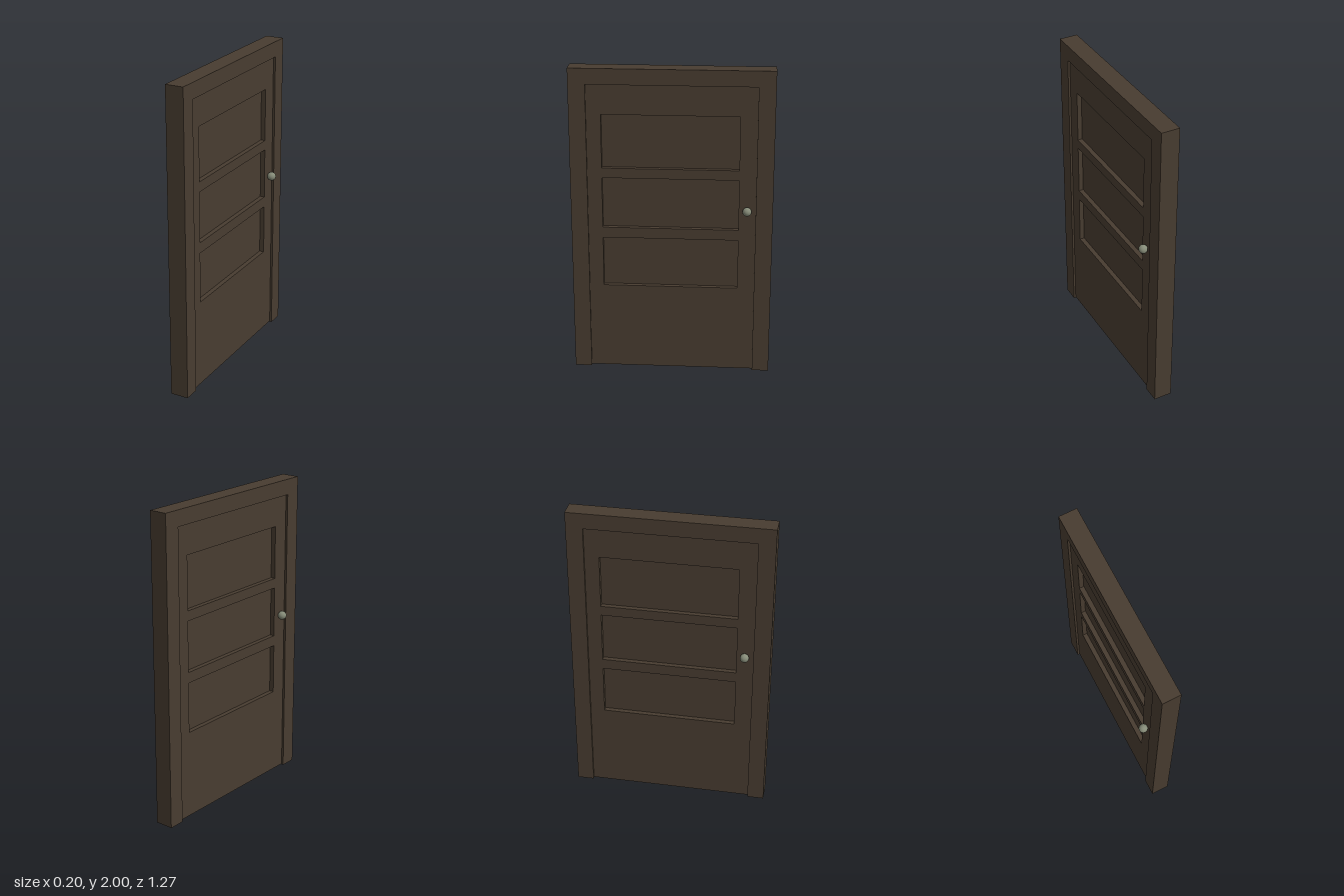
import * as THREE from 'three';

const wood = new THREE.MeshStandardMaterial({ color: 0x483c30 });
const metal = new THREE.MeshStandardMaterial({ color: 0x858b78 });

const HALF_W = 0.633, HALF_D = 0.059;          // frame
const DOOR_W = 0.527, DOOR_TOP = 1.9, DOOR_BOTTOM = 0.005;
const DOOR_D = 0.045, PANEL_D = 0.015;         // half depths of leaf and sunken panels
const PANEL_ROWS = [[0.576, 0.904], [0.973, 1.302], [1.366, 1.71]];

function polygon(points, Type = THREE.Shape) {
  return new Type(points.map(([x, y]) => new THREE.Vector2(x, y)));
}

function rect(x0, y0, x1, y1, Type) {
  return polygon([[x0, y0], [x1, y0], [x1, y1], [x0, y1]], Type);
}

function slab(name, shape, z0, z1) {
  const geometry = new THREE.ExtrudeGeometry(shape, { depth: z1 - z0, bevelEnabled: false });
  geometry.translate(0, 0, z0);
  const mesh = new THREE.Mesh(geometry, wood);
  mesh.name = name;
  return mesh;
}

// One side of the leaf: rails and stiles around the panel openings, plus a knob
function doorFace(name) {
  const face = new THREE.Group();
  face.name = name;
  const shape = rect(-DOOR_W, DOOR_BOTTOM, DOOR_W, DOOR_TOP);
  for (const [y0, y1] of PANEL_ROWS) shape.holes.push(rect(-0.436, y0, 0.42, y1, THREE.Path));
  face.add(slab('railsAndStiles', shape, PANEL_D, DOOR_D));

  const knob = new THREE.Mesh(new THREE.SphereGeometry(0.028, 32, 20), metal);
  knob.name = 'knob';
  knob.position.set(0.472, 1.107, 0.071);
  face.add(knob);
  return face;
}

export function createModel() {
  const model = new THREE.Group();
  model.name = 'door';

  // Frame: two jambs and a head, open at the floor
  const frame = slab('frame', polygon([
    [-HALF_W, 0], [-DOOR_W, 0], [-DOOR_W, DOOR_TOP], [DOOR_W, DOOR_TOP],
    [DOOR_W, 0], [HALF_W, 0], [HALF_W, 2], [-HALF_W, 2],
  ]), -HALF_D, HALF_D);
  frame.rotation.y = Math.PI / 2;
  model.add(frame);

  // Thin core forming the sunken panels
  const core = slab('panelCore', rect(-DOOR_W, DOOR_BOTTOM, DOOR_W, DOOR_TOP), -PANEL_D, PANEL_D);
  core.rotation.y = Math.PI / 2;
  model.add(core);

  // The same face on both sides, turned half a revolution
  for (const [name, side] of [['leftFace', 1], ['rightFace', -1]]) {
    const face = doorFace(name);
    face.rotation.y = side * Math.PI / 2;
    model.add(face);
  }
  return model;
}
